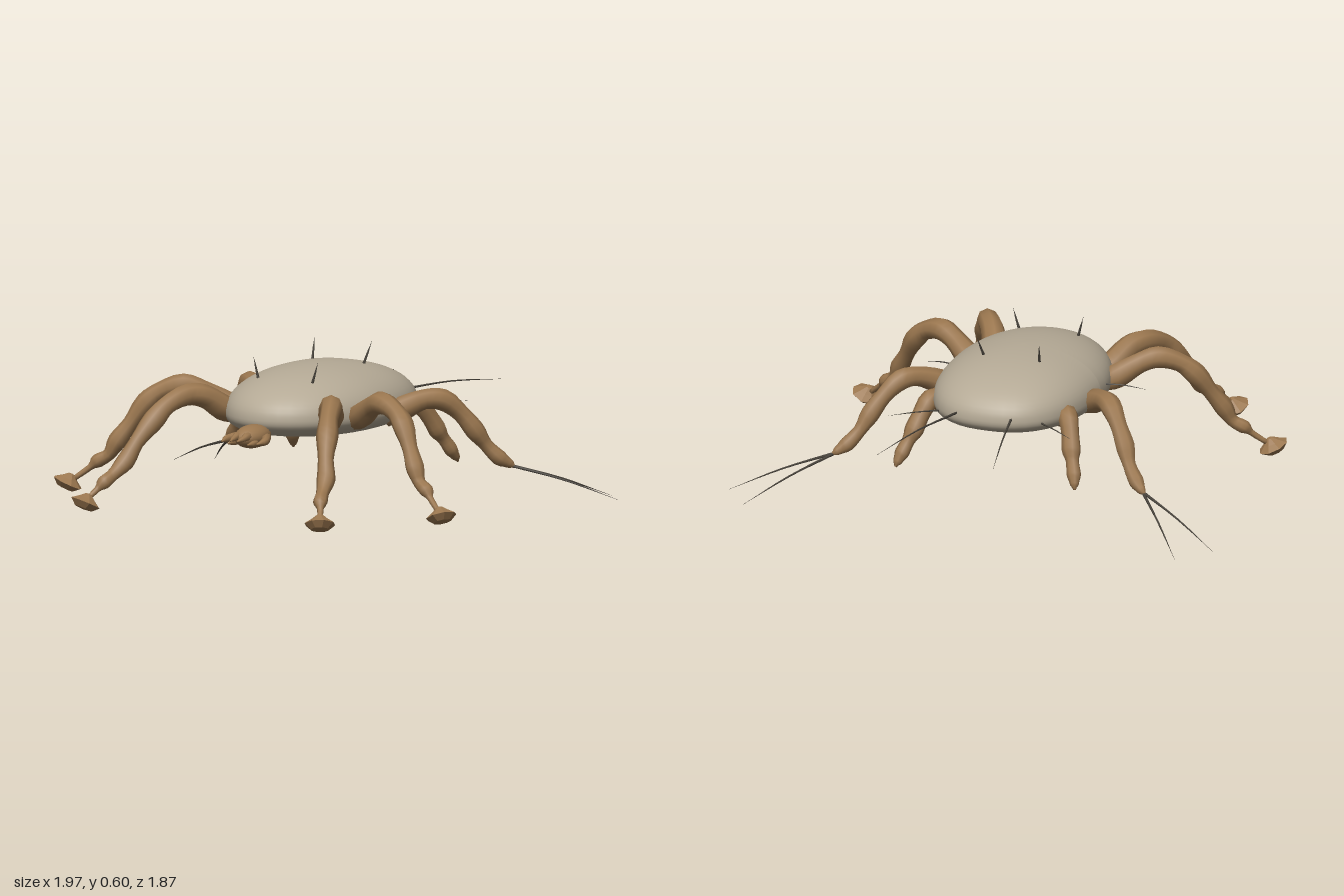
import * as THREE from 'three';

const bodyMat = new THREE.MeshStandardMaterial({ name: 'shell beige', color: 0xb4a995 });
const limbMat = new THREE.MeshStandardMaterial({ name: 'limb brown', color: 0x9b774f });
const hairMat = new THREE.MeshStandardMaterial({ name: 'bristle dark', color: 0x4a453d });

// Tapered tube through points [x, y, z, radius]; side mirrors it in x
function limb(name, pts, side, mat, sides = 8, sub = 3) {
  const at = pts.map(p => new THREE.Vector3(p[0] * side, p[1], p[2]));
  const curve = new THREE.CatmullRomCurve3(at);
  const span = at[at.length - 1].clone().sub(at[0]).normalize();
  const ref = Math.abs(span.y) > 0.8 ? new THREE.Vector3(0, 0, 1) : new THREE.Vector3(0, 1, 0);
  const across = new THREE.Vector3().crossVectors(ref, span).normalize();
  const n = (pts.length - 1) * sub, pos = [], index = [];
  for (let i = 0; i <= n; i++) {
    const k = Math.min(Math.floor(i / sub), pts.length - 2);
    const f = THREE.MathUtils.smoothstep(i / sub - k, 0, 1);
    const r = THREE.MathUtils.lerp(pts[k][3], pts[k + 1][3], f);
    const c = curve.getPoint(i / n), t = curve.getTangent(i / n);
    const b = across.clone().addScaledVector(t, -across.dot(t)).normalize();
    const u = new THREE.Vector3().crossVectors(t, b);
    for (let j = 0; j < sides; j++) {
      const a = (j / sides) * Math.PI * 2;
      const p = c.clone().addScaledVector(b, r * Math.cos(a)).addScaledVector(u, r * Math.sin(a));
      pos.push(p.x, p.y, p.z);
      if (i < n) {
        const v = i * sides + j, w = i * sides + (j + 1) % sides;
        index.push(v, w, v + sides, w, w + sides, v + sides);
      }
    }
  }
  // End caps
  for (let j = 1; j < sides - 1; j++) {
    index.push(0, j + 1, j, n * sides, n * sides + j, n * sides + j + 1);
  }
  const g = new THREE.BufferGeometry();
  g.setAttribute('position', new THREE.Float32BufferAttribute(pos, 3));
  g.setIndex(index);
  g.computeVertexNormals();
  const mesh = new THREE.Mesh(g, mat);
  mesh.name = name;
  return mesh;
}

// Fine bristle from a to b, bowed upward by sag
function bristle(name, a, b, side, r, sag) {
  const mid = a.map((v, i) => (v + b[i]) / 2 + (i === 1 ? sag : 0));
  return limb(name, [[...a, r], [...mid, r * 0.6], [...b, 0.0005]], side, hairMat, 5, 4);
}

// Shallow faceted sucker with its axis leaning back along the leg
function foot(name, x, y, z, side) {
  const profile = [[0, -0.026], [0.035, -0.022], [0.06, 0], [0.034, 0.018], [0.012, 0.036], [0, 0.038]];
  const lathe = new THREE.LatheGeometry(profile.map(p => new THREE.Vector2(...p)), 8).toNonIndexed();
  lathe.computeVertexNormals();
  const mesh = new THREE.Mesh(lathe, limbMat);
  const out = new THREE.Vector3(x * side, 0, z).normalize();
  const axis = new THREE.Vector3(0, 0.9, 0).addScaledVector(out, -0.42).normalize();
  mesh.quaternion.setFromUnitVectors(new THREE.Vector3(0, 1, 0), axis);
  mesh.position.set(x * side, y, z);
  mesh.name = name;
  return mesh;
}

// Domed oval shell: flatter and boxier beneath, squarer behind
function makeBody() {
  const g = new THREE.SphereGeometry(1, 48, 32), p = g.attributes.position;
  for (let i = 0; i < p.count; i++) {
    const y = p.getY(i), a = Math.atan2(p.getZ(i), p.getX(i));
    const cx = Math.cos(a), cz = Math.sin(a);
    const e = y < 0 ? 2.6 : 2.1, q = cz < 0 ? 2.4 : 2.05;
    const ring = Math.pow(Math.max(0, 1 - Math.pow(Math.abs(y), e)), 1 / e);
    const k = ring / Math.pow(Math.pow(Math.abs(cx), q) + Math.pow(Math.abs(cz), q), 1 / q);
    p.setXYZ(i, 0.31 * cx * k, 0.372 + y * (y < 0 ? 0.092 : 0.168), 0.02 + 0.455 * cz * k);
  }
  g.computeVertexNormals();
  const mesh = new THREE.Mesh(g, bodyMat);
  mesh.name = 'body';
  return mesh;
}

const LEGS = {
  frontLeg: [[.2, .35, .27, .035], [.24, .385, .33, .05], [.28, .435, .4, .045], [.32, .445, .46, .042],
    [.36, .41, .55, .037], [.385, .36, .6, .043], [.42, .28, .67, .03], [.445, .21, .71, .036],
    [.465, .165, .77, .025], [.48, .14, .81, .028], [.495, .115, .835, .012], [.515, .085, .87, .01]],
  secondLeg: [[.24, .35, .18, .035], [.3, .38, .21, .05], [.38, .43, .255, .041], [.44, .45, .285, .044],
    [.52, .425, .32, .036], [.57, .38, .345, .042], [.62, .3, .38, .03], [.66, .235, .41, .036],
    [.69, .18, .425, .024], [.73, .155, .44, .027], [.755, .13, .455, .012], [.81, .085, .485, .01]],
  thirdLeg: [[.26, .34, -.03, .035], [.32, .375, -.07, .047], [.38, .405, -.13, .039], [.43, .4, -.18, .042],
    [.48, .345, -.23, .033], [.52, .28, -.265, .038], [.55, .22, -.3, .026], [.59, .17, -.33, .03],
    [.62, .147, -.355, .018], [.637, .135, -.365, .006]],
  rearLeg: [[.2, .31, -.14, .03], [.25, .35, -.2, .045], [.28, .365, -.25, .039], [.305, .31, -.29, .034],
    [.32, .26, -.32, .037], [.335, .22, -.345, .025], [.35, .18, -.37, .028], [.36, .15, -.39, .018],
    [.365, .13, -.4, .005]],
};

// name, root, tip, radius, bow
const BRISTLES = [
  ['tailBristle', [.11, .385, -.41], [.237, .367, -.93], .005, .012],
  ['rearSideBristle', [.2, .36, -.34], [.37, .355, -.46], .004, .003],
  ['flankBristle', [.29, .39, .08], [.455, .375, .12], .004, .006],
  ['rearBackBristle', [.11, .5, -.11], [.127, .605, -.16], .007, 0],
  ['frontBackBristle', [.115, .48, .27], [.143, .58, .265], .007, 0],
  ['legBristleOuter', [.625, .14, -.355], [.985, .01, -.55], .006, .01],
  ['legBristleInner', [.625, .14, -.355], [.88, .003, -.675], .006, .01],
];

export function createModel() {
  const model = new THREE.Group();
  model.name = 'mite';
  model.add(makeBody());

  // Head
  const head = new THREE.Group();
  head.name = 'head';
  const snout = new THREE.Mesh(new THREE.SphereGeometry(1, 16, 12), limbMat);
  snout.name = 'snout';
  snout.scale.set(0.06, 0.045, 0.095);
  snout.position.set(0, 0.317, 0.51);
  head.add(snout);
  model.add(head);

  for (const side of [1, -1]) {
    const tag = side > 0 ? 'Left' : 'Right';
    // Mouthparts
    head.add(limb('palp' + tag, [[.04, .315, .47, .015], [.066, .312, .52, .018], [.083, .308, .56, .015],
      [.077, .304, .61, .003]], side, limbMat));
    head.add(limb('jaw' + tag, [[.018, .325, .53, .018], [.021, .326, .59, .016], [.02, .32, .615, .011],
      [.015, .315, .65, .003]], side, limbMat));
    head.add(limb('lowerJaw' + tag, [[.035, .3, .53, .014], [.045, .3, .58, .012], [.043, .3, .62, .003]],
      side, limbMat));

    // Legs, feet and bristles
    for (const [name, pts] of Object.entries(LEGS)) model.add(limb(name + tag, pts, side, limbMat));
    model.add(foot('frontFoot' + tag, 0.52, 0.068, 0.88, side));
    model.add(foot('secondFoot' + tag, 0.828, 0.072, 0.497, side));
    for (const [name, a, b, r, sag] of BRISTLES) model.add(bristle(name + tag, a, b, side, r, sag));
  }
  return model;
}
